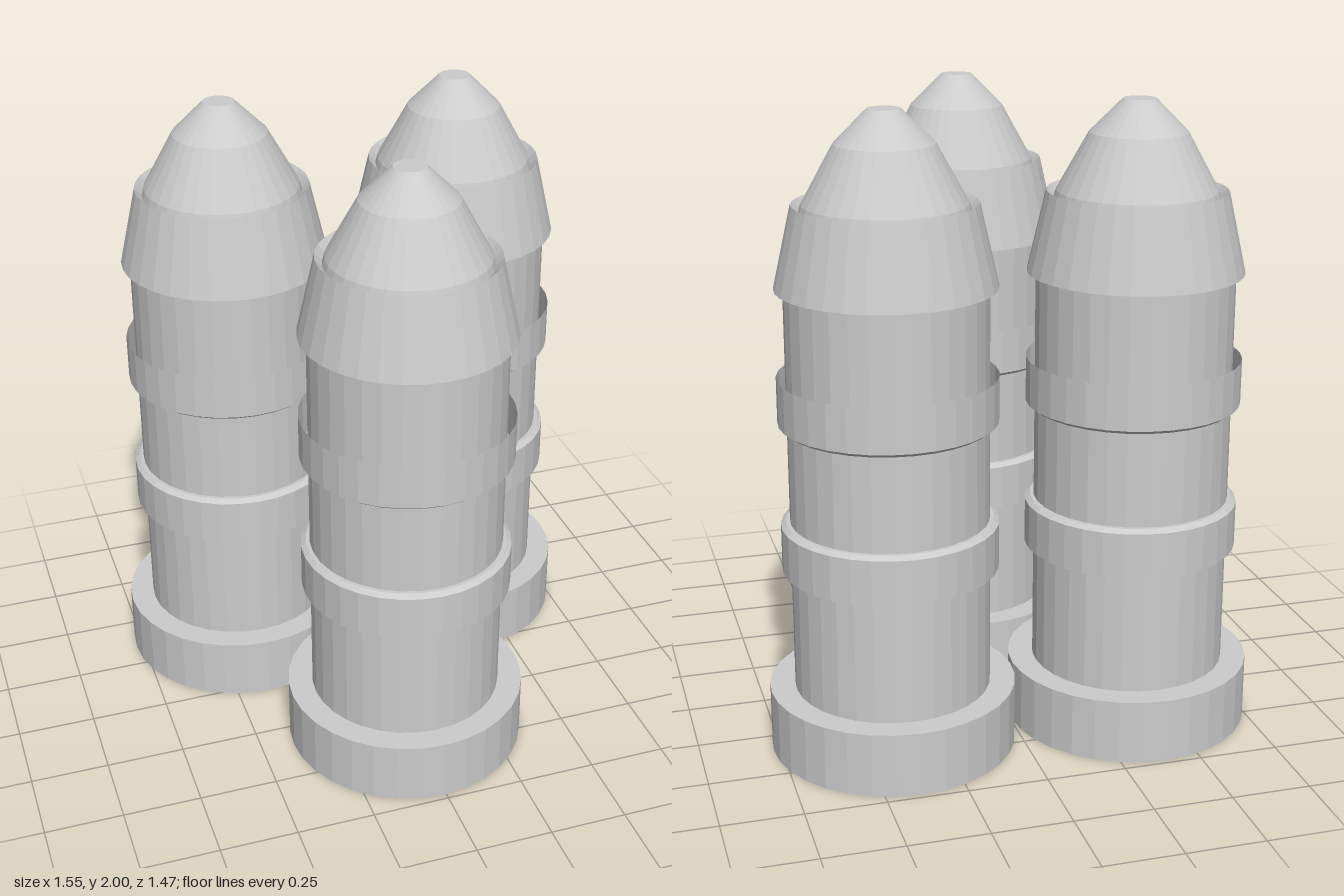
import * as THREE from 'three';

const SIDES = 32;
const solid = new THREE.MeshStandardMaterial({ color: 0xcccccc, flatShading: true });
const thin = new THREE.MeshStandardMaterial({ color: 0xcccccc, flatShading: true, side: THREE.DoubleSide });

// Revolve a profile of [radius, height] pairs, running upwards on the outside
function turned(name, profile, material = solid) {
  const points = profile.map(([r, y]) => new THREE.Vector2(r, y));
  const mesh = new THREE.Mesh(new THREE.LatheGeometry(points, SIDES), material);
  mesh.name = name;
  return mesh;
}

function createRocket(name) {
  const rocket = new THREE.Group();
  rocket.name = name;
  rocket.add(
    // Foot with a round recess underneath
    turned('base', [[0, 0.09], [0.285, 0.09], [0.285, 0], [0.386, 0], [0.386, 0.203], [0.3, 0.203]]),
    turned('body', [[0.307, 0.2], [0.307, 1.48]]),
    // Sleeves: each has a bevelled lip facing the other and an open far end
    turned('lowerBand', [[0.335, 0.595], [0.335, 0.738], [0.319, 0.75], [0.307, 0.75]], thin),
    turned('upperBand', [[0.307, 1.052], [0.319, 1.052], [0.335, 1.064], [0.335, 1.205]], thin),
    // Tapered collar with a shallow groove around the nose
    turned('collar', [[0.307, 1.475], [0.334, 1.475], [0.277, 1.725], [0.254, 1.7]], thin),
    turned('nose', [[0.254, 1.7], [0.247, 1.725], [0.15, 1.9], [0.05, 2], [0, 2]])
  );
  return rocket;
}

export function createModel() {
  const model = new THREE.Group();
  model.name = 'rocketCluster';
  // Triangle of three identical rockets
  const places = [
    ['frontRocket', -0.008, 0.345],
    ['backLeftRocket', 0.389, -0.348],
    ['backRightRocket', -0.391, -0.348],
  ];
  for (const [name, x, z] of places) {
    const rocket = createRocket(name);
    rocket.position.set(x, 0, z);
    model.add(rocket);
  }
  return model;
}
